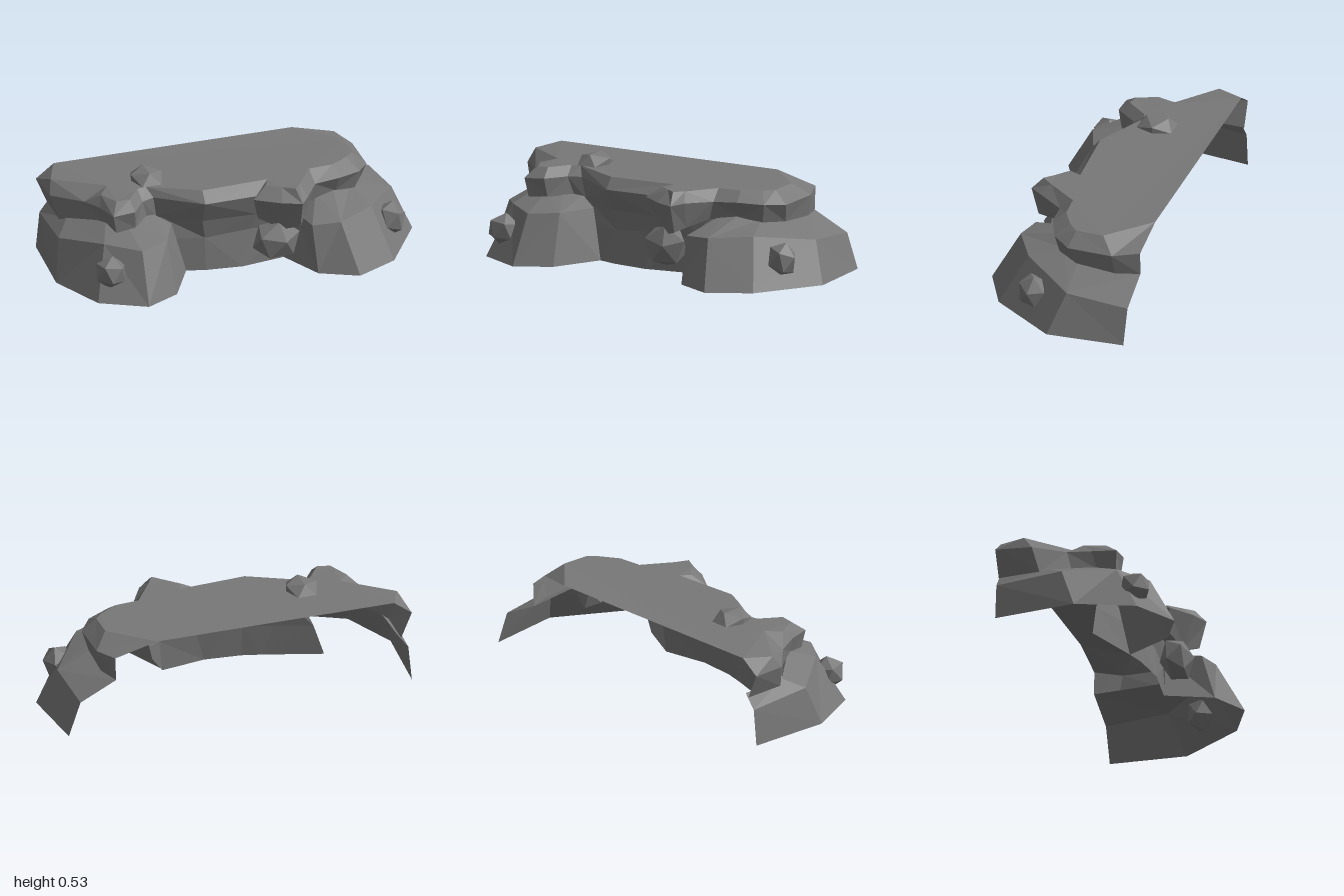
import * as THREE from 'three';

const stone = new THREE.MeshStandardMaterial({ color: 0x787878, side: THREE.DoubleSide, flatShading: true });
stone.name = 'grey stone';

// Faceted surface joining rings of equal length, listed from bottom to top
// and running from -x round the front to +x; optionally closed with a flat lid.
function rockSkin(name, rings, lid = false) {
  const pos = [];
  const put = (...pts) => pts.forEach((p) => pos.push(...p));
  for (let r = 0; r < rings.length - 1; r++) {
    const lo = rings[r], hi = rings[r + 1];
    for (let i = 0; i < lo.length - 1; i++) {
      if ((i + r) % 2) put(lo[i], lo[i + 1], hi[i + 1], lo[i], hi[i + 1], hi[i]);
      else put(lo[i], lo[i + 1], hi[i], lo[i + 1], hi[i + 1], hi[i]);
    }
  }
  if (lid) {
    const top = rings[rings.length - 1];
    const flat = top.map(([x, , z]) => new THREE.Vector2(x, -z));
    for (const [a, b, c] of THREE.ShapeUtils.triangulateShape(flat, [])) {
      const area = (flat[b].x - flat[a].x) * (flat[c].y - flat[a].y) - (flat[b].y - flat[a].y) * (flat[c].x - flat[a].x);
      if (area > 0) put(top[a], top[b], top[c]);
      else put(top[a], top[c], top[b]);
    }
  }
  const geo = new THREE.BufferGeometry();
  geo.setAttribute('position', new THREE.Float32BufferAttribute(pos, 3));
  geo.computeVertexNormals();
  const mesh = new THREE.Mesh(geo, stone);
  mesh.name = name;
  return mesh;
}

function boulder(name, [x, y, z], [rx, ry, rz], tilt, spin) {
  const geo = new THREE.IcosahedronGeometry(1, 0);
  geo.rotateZ(tilt).rotateY(spin).scale(rx, ry, rz);
  geo.computeVertexNormals();
  const mesh = new THREE.Mesh(geo, stone);
  mesh.position.set(x, y, z);
  mesh.name = name;
  return mesh;
}

export function createModel() {
  const group = new THREE.Group();
  group.name = 'rockLedge';

  // Overhanging cap: undercut, bulging rim, flat top
  const capLow = [
    [-0.90, 0.26, -0.45], [-0.91, 0.26, -0.22], [-0.79, 0.30, -0.08], [-0.73, 0.32, 0.04], [-0.71, 0.31, 0.14],
    [-0.60, 0.32, 0.13], [-0.50, 0.32, 0.02], [-0.44, 0.30, 0.00], [-0.22, 0.29, 0.11], [0.08, 0.29, 0.12],
    [0.07, 0.29, 0.17], [0.19, 0.23, 0.22], [0.27, 0.26, 0.28], [0.31, 0.28, 0.22], [0.38, 0.31, 0.10],
    [0.54, 0.33, 0.06], [0.66, 0.31, 0.02], [0.73, 0.30, -0.10], [0.74, 0.29, -0.32], [0.70, 0.29, -0.45]];
  const capMid = [
    [-0.96, 0.40, -0.45], [-0.95, 0.39, -0.25], [-0.81, 0.40, -0.10], [-0.76, 0.41, 0.02], [-0.73, 0.41, 0.15],
    [-0.61, 0.42, 0.15], [-0.53, 0.42, 0.04], [-0.46, 0.42, 0.01], [-0.22, 0.41, 0.16], [0.11, 0.41, 0.15],
    [0.04, 0.41, 0.19], [0.17, 0.41, 0.28], [0.27, 0.41, 0.32], [0.32, 0.42, 0.26], [0.41, 0.41, 0.11],
    [0.55, 0.42, 0.10], [0.68, 0.41, 0.04], [0.755, 0.40, -0.06], [0.76, 0.405, -0.31], [0.705, 0.42, -0.45]];
  const capTop = [
    [-0.86, 0.475, -0.45], [-0.93, 0.46, -0.30], [-0.68, 0.47, -0.11], [-0.74, 0.46, -0.03], [-0.69, 0.465, 0.08],
    [-0.62, 0.47, 0.09], [-0.54, 0.47, -0.02], [-0.49, 0.47, -0.03], [-0.22, 0.47, 0.11], [0.15, 0.47, 0.09],
    [0.12, 0.465, 0.15], [0.19, 0.47, 0.21], [0.25, 0.475, 0.26], [0.29, 0.47, 0.20], [0.40, 0.47, 0.04],
    [0.53, 0.47, 0.03], [0.63, 0.47, -0.03], [0.68, 0.47, -0.08], [0.685, 0.475, -0.235], [0.47, 0.48, -0.45]];
  group.add(rockSkin('overhangingCap', [capLow, capMid, capTop], true));

  // Recessed wall between the buttresses, running on behind the right one
  group.add(rockSkin('recessedWall', [
    [[-0.62, 0, -0.02], [-0.31, 0, 0.08], [-0.20, 0, 0.11], [0.00, 0, 0.13], [0.25, 0, 0.09], [0.32, 0.10, 0.05]],
    [[-0.56, 0.18, -0.02], [-0.36, 0.18, 0.05], [-0.20, 0.18, 0.09], [0.06, 0.20, 0.10], [0.27, 0.18, 0.08], [0.34, 0.18, 0.04]],
    [[-0.50, 0.32, 0.00], [-0.44, 0.31, 0.00], [-0.22, 0.30, 0.11], [0.08, 0.30, 0.12], [0.26, 0.30, 0.10], [0.38, 0.31, 0.05]]]));

  // Sloping buttresses: foot, shoulder, and the edge tucked under the cap
  group.add(rockSkin('rightButtress', [
    [[-0.96, 0, -0.45], [-1.00, 0, 0.00], [-0.87, 0, 0.31], [-0.63, 0, 0.44], [-0.44, 0, 0.34], [-0.30, 0, 0.08]],
    [[-0.94, 0.20, -0.45], [-0.96, 0.22, -0.08], [-0.79, 0.27, 0.17], [-0.62, 0.26, 0.30], [-0.46, 0.27, 0.24], [-0.37, 0.27, 0.04]],
    [[-0.88, 0.28, -0.45], [-0.88, 0.28, -0.18], [-0.73, 0.33, 0.02], [-0.64, 0.33, 0.08], [-0.55, 0.33, 0.05], [-0.46, 0.32, 0.00]]]));
  group.add(rockSkin('leftButtress', [
    [[0.24, 0, 0.09], [0.35, 0, 0.34], [0.55, 0, 0.44], [0.78, 0, 0.32], [1.00, 0, -0.03], [0.965, 0, -0.45]],
    [[0.31, 0.25, 0.08], [0.34, 0.25, 0.27], [0.49, 0.26, 0.30], [0.70, 0.27, 0.18], [0.91, 0.22, -0.11], [0.90, 0.19, -0.45]],
    [[0.38, 0.32, 0.04], [0.43, 0.33, 0.06], [0.53, 0.34, 0.05], [0.64, 0.32, 0.00], [0.71, 0.30, -0.10], [0.70, 0.29, -0.45]]]));

  // Embedded boulders
  group.add(
    boulder('rightBoulder', [-0.785, 0.15, 0.27], [0.09, 0.09, 0.09], 0.4, 0.8),
    boulder('middleBoulder', [0.165, 0.16, 0.19], [0.135, 0.12, 0.09], 0.9, 1.8),
    boulder('leftBoulder', [0.83, 0.145, 0.108], [0.085, 0.1, 0.085], 0.25, 0.5),
    boulder('topBoulder', [-0.455, 0.47, -0.125], [0.1, 0.065, 0.115], 0, Math.PI / 2));
  return group;
}
